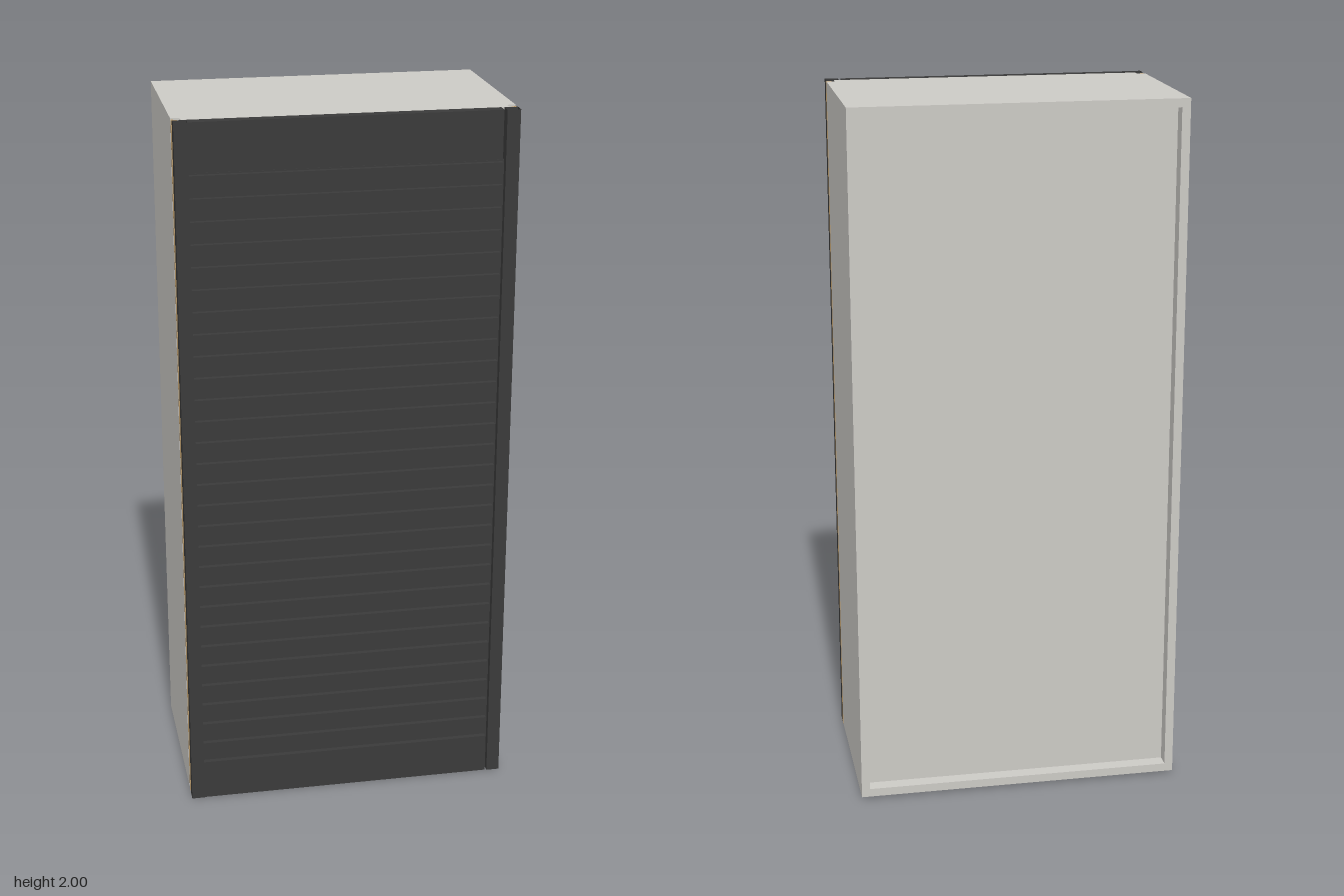
import * as THREE from 'three';

const mat = (name, color, side = THREE.FrontSide) => {
  const m = new THREE.MeshStandardMaterial({ color, side });
  m.name = name;
  return m;
};

export function createModel() {
  const root = new THREE.Group();
  root.name = 'shutterCabinet';
  const grey = mat('lightGreyBoard', 0xcccac5);
  const dark = mat('charcoalShutter', 0x3a3a3a, THREE.DoubleSide);
  const tan = mat('tanTrack', 0xb8996b, THREE.DoubleSide);

  // Box given by its limits on each axis; open leaves off the top and bottom
  function box(name, material, [x0, x1], [y0, y1], [z0, z1], parent = root, open = false) {
    const geo = new THREE.BoxGeometry(x1 - x0, y1 - y0, z1 - z0);
    if (open) {
      const index = Array.from(geo.index.array);
      index.splice(12, 12);
      geo.setIndex(index);
      geo.clearGroups();
    }
    const mesh = new THREE.Mesh(geo, material);
    mesh.name = name;
    mesh.position.set((x0 + x1) / 2, (y0 + y1) / 2, (z0 + z1) / 2);
    parent.add(mesh);
    return mesh;
  }

  // Carcass: boards around a recessed back
  const W = 0.463, T = 0.024, IN = W - T;
  const carcass = new THREE.Group();
  carcass.name = 'carcass';
  root.add(carcass);
  box('topBoard', grey, [-IN, IN], [2 - T, 2], [-0.277, 0.24], carcass);
  box('bottomBoard', grey, [-IN, IN], [0.008, 0.008 + T], [-0.277, 0.24], carcass);
  box('backPanel', grey, [-IN, IN], [0.008 + T, 2 - T], [-0.237, -0.227], carcass);

  // Mirrored sides, jambs, tracks and shutter guides
  for (const s of [-1, 1]) {
    const side = s > 0 ? 'left' : 'right';
    const span = (a, b) => (s > 0 ? [a, b] : [-b, -a]);
    box(side + 'SidePanel', grey, span(IN, W), [0.008, 2], [-0.277, 0.215], carcass);
    box(side + 'Jamb', grey, span(IN - 0.025, IN), [0.008 + T, 2 - T], [0.19, 0.24], carcass);

    const track = new THREE.Group();
    track.name = side + 'Track';
    root.add(track);
    box('trackOuterWall', tan, span(0.457, W), [0.004, 1.998], [0.222, 0.236], track);
    box('trackFrontWall', tan, span(0.447, 0.457), [0.004, 1.998], [0.231, 0.236], track);

    box(side + 'Guide', dark, span(0.425, 0.462), [0, 2], [0.243, 0.275], root, true);
    for (const y of [0.5, 1, 1.49])
      box(side + 'GuideClip', dark, span(0.45, 0.46), [y - 0.005, y + 0.005], [0.236, 0.243]);
  }

  // Roller shutter: fascia, slats over a dark curtain, bottom rail
  const shutter = new THREE.Group();
  shutter.name = 'rollerShutter';
  root.add(shutter);
  const slatX = [-0.425, 0.419], low = 0.12, high = 1.862, count = 28, gap = 0.004;
  const pitch = (high - low) / count;
  box('curtain', dark, [-0.425, 0.4245], [0, high], [0.241, 0.258], shutter);
  box('fascia', dark, [-0.425, 0.417], [high + gap, 2], [0.241, 0.273], shutter);
  box('bottomRail', dark, slatX, [0, low - gap], [0.258, 0.273], shutter);
  for (let i = 0; i < count; i++) {
    const y = low + i * pitch;
    box('slat', dark, slatX, [y + gap, y + pitch - gap], [0.258, 0.272], shutter);
  }
  return root;
}
